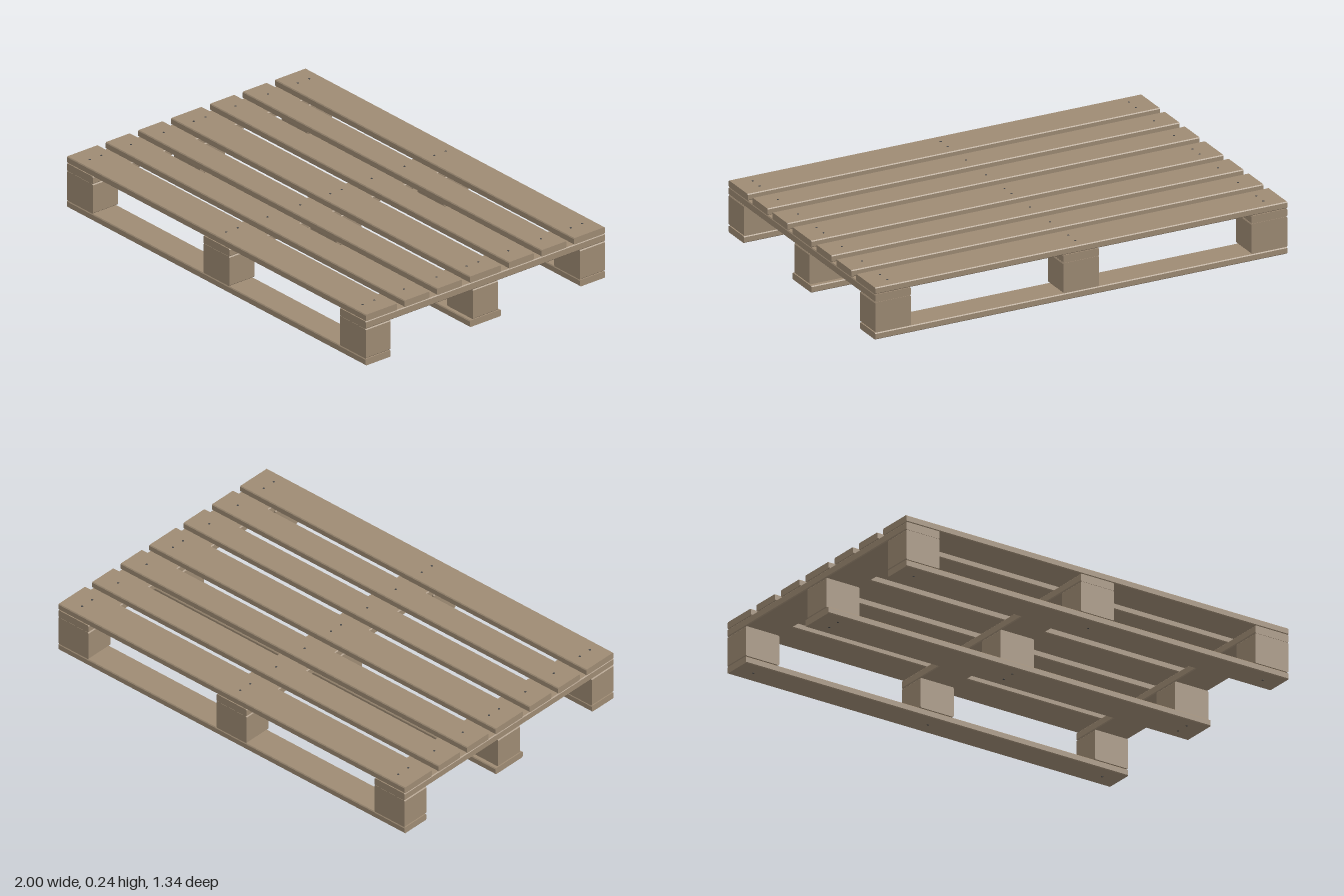
import * as THREE from 'three';

const wood = new THREE.MeshStandardMaterial({ color: 0x9e8b74 });
wood.name = 'weathered wood';
const steel = new THREE.MeshStandardMaterial({ color: 0x4a4a4a });
steel.name = 'nail steel';

// Timber of width w and height h with eased long edges, running along z
function timber(w, h, length) {
  const c = 0.004, a = w / 2, b = h / 2;
  const section = new THREE.Shape([
    [-a + c, -b], [a - c, -b], [a, -b + c], [a, b - c],
    [a - c, b], [-a + c, b], [-a, b - c], [-a, -b + c],
  ].map(([x, y]) => new THREE.Vector2(x, y)));
  const g = new THREE.ExtrudeGeometry(section, { depth: length, bevelEnabled: false });
  return g.translate(0, 0, -length / 2);
}

export function createModel() {
  const pallet = new THREE.Group();
  pallet.name = 'pallet';

  function add(name, geometry, material, x, y, z) {
    const mesh = new THREE.Mesh(geometry, material);
    mesh.name = name;
    mesh.position.set(x, y, z);
    pallet.add(mesh);
  }

  const columns = [-0.913, 0, 0.913];
  const wide = 0.174, narrow = 0.139;
  const nailHead = new THREE.CylinderGeometry(0.005, 0.005, 0.002, 8);

  // Board running along x, with nail heads over each column
  function board(name, z, width, y0, y1, nailOffsets, nailY) {
    const g = timber(width, y1 - y0, 2).rotateY(Math.PI / 2);
    add(name, g, wood, 0, (y0 + y1) / 2, z);
    for (const x of columns)
      for (const dz of nailOffsets) add('nailHead', nailHead, steel, x, nailY, z + dz);
  }

  // Deck boards: wide at the edges and centre, narrow between
  for (const z of [-0.58, 0, 0.58])
    board('deckBoard', z, wide, 0.212, 0.243, [-0.032, 0.032], 0.243);
  for (const z of [-0.382, -0.2, 0.2, 0.382])
    board('deckBoard', z, narrow, 0.212, 0.243, [0], 0.243);

  // Bottom runners
  for (const z of [-0.598, 0.598]) board('bottomRunner', z, narrow, 0.001, 0.032, [0], 0.001);
  board('bottomRunner', 0, wide, 0.001, 0.032, [-0.032, 0.032], 0.001);

  // Stringers across the depth, each carried on three blocks
  const stringer = timber(wide, 0.036, 1.334);
  const block = timber(wide, 0.14, narrow);
  for (const x of columns) {
    add('stringer', stringer, wood, x, 0.193, 0);
    for (const z of [-0.5975, 0, 0.5975]) add('spacerBlock', block, wood, x, 0.104, z);
  }

  return pallet;
}
